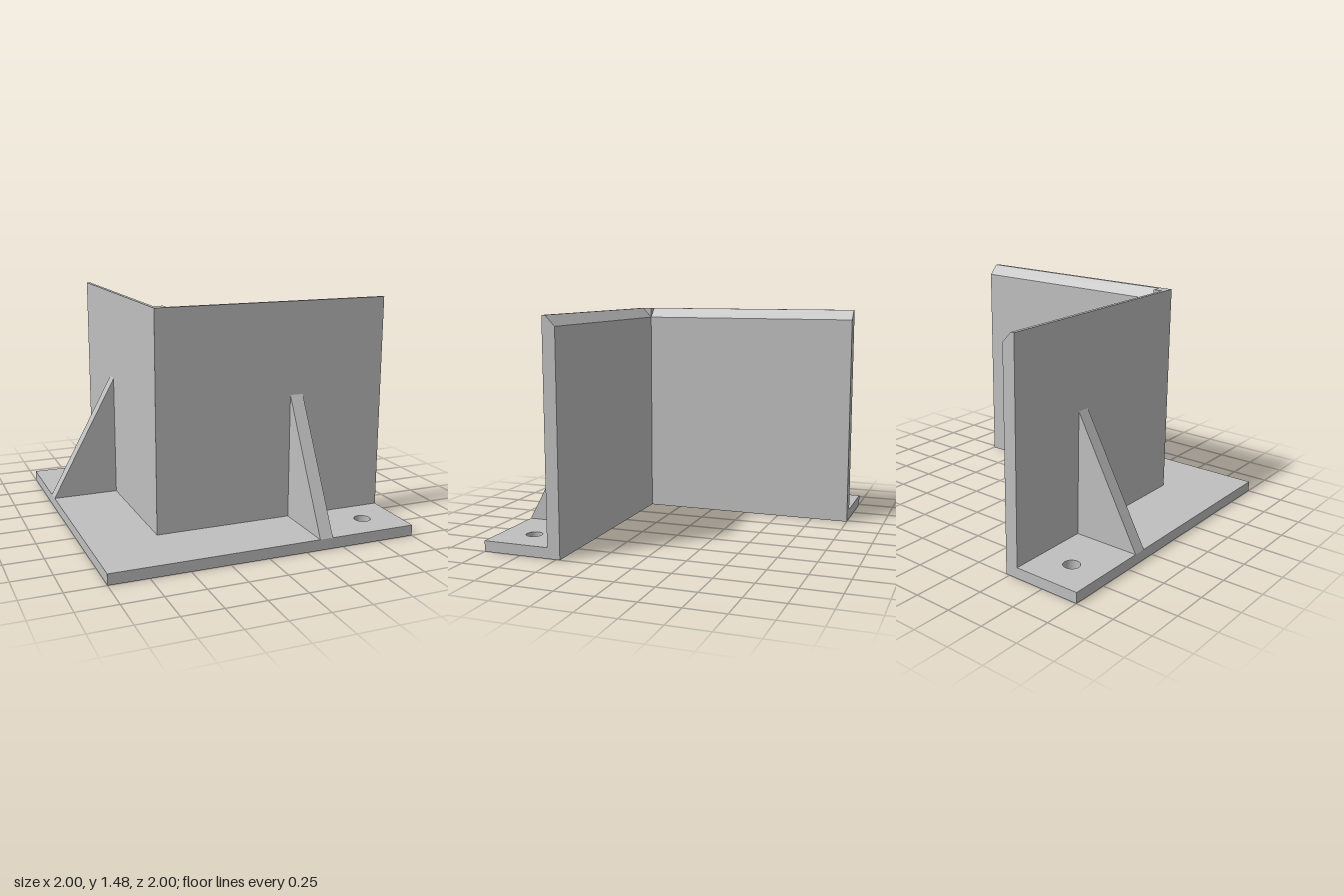
import * as THREE from 'three';

const INNER = 0.475, OUTER = 0.56, BASE = 0.07, TOP = 1.475;

// Shape from [x, y] pairs
const shapeOf = (pts) => new THREE.Shape(pts.map(([x, y]) => new THREE.Vector2(x, y)));

export function createModel() {
  const model = new THREE.Group();
  model.name = 'cornerBracket';
  const grey = new THREE.MeshStandardMaterial({ color: 0xbfbfbf });
  grey.name = 'plain grey';

  const add = (parent, name, geometry) => {
    const mesh = new THREE.Mesh(geometry, grey);
    mesh.name = name;
    parent.add(mesh);
    return mesh;
  };

  // Extrude a cross-section along z between two positions
  const prism = (pts, from, to) =>
    new THREE.ExtrudeGeometry(shapeOf(pts), { depth: to - from, bevelEnabled: false })
      .translate(0, 0, from);

  // L-shaped foot plate with two bolt holes (shape y is -z)
  const foot = shapeOf([[-1, -1], [1, -1], [1, -OUTER], [-OUTER, -OUTER], [-OUTER, 1], [-1, 1]]);
  for (const [x, y] of [[-0.78, 0.766], [0.766, -0.78]]) {
    foot.holes.push(new THREE.Path().absarc(x, y, 0.053, 0, Math.PI * 2, true));
  }
  const footGeometry = new THREE.ExtrudeGeometry(foot, {
    depth: BASE, bevelEnabled: false, curveSegments: 24,
  });
  add(model, 'footPlate', footGeometry.rotateX(-Math.PI / 2));

  // Wall section with the inner top edge chamfered, and triangular rib section
  const wall = [[-OUTER, 0], [-INNER, 0], [-INNER, 1.41], [-0.537, TOP], [-OUTER, TOP]];
  const rib = [[-1, BASE], [-OUTER, BASE], [-OUTER, 0.88]];

  // Left and front wings share sections; the front one is turned a quarter
  const wings = [
    { name: 'sideWing', turn: 0, wall: [-1, INNER], rib: [-0.427, -0.34] },
    { name: 'frontWing', turn: Math.PI / 2, wall: [-INNER, 1], rib: [0.34, 0.427] },
  ];
  for (const w of wings) {
    const wing = new THREE.Group();
    wing.name = w.name;
    wing.rotation.y = w.turn;
    add(wing, 'wall', prism(wall, ...w.wall));
    add(wing, 'supportRib', prism(rib, ...w.rib));
    model.add(wing);
  }

  // Unchamfered post where the walls meet
  const t = OUTER - INNER, mid = (OUTER + INNER) / 2;
  add(model, 'cornerPost', new THREE.BoxGeometry(t, TOP, t)).position.set(-mid, TOP / 2, mid);

  return model;
}
